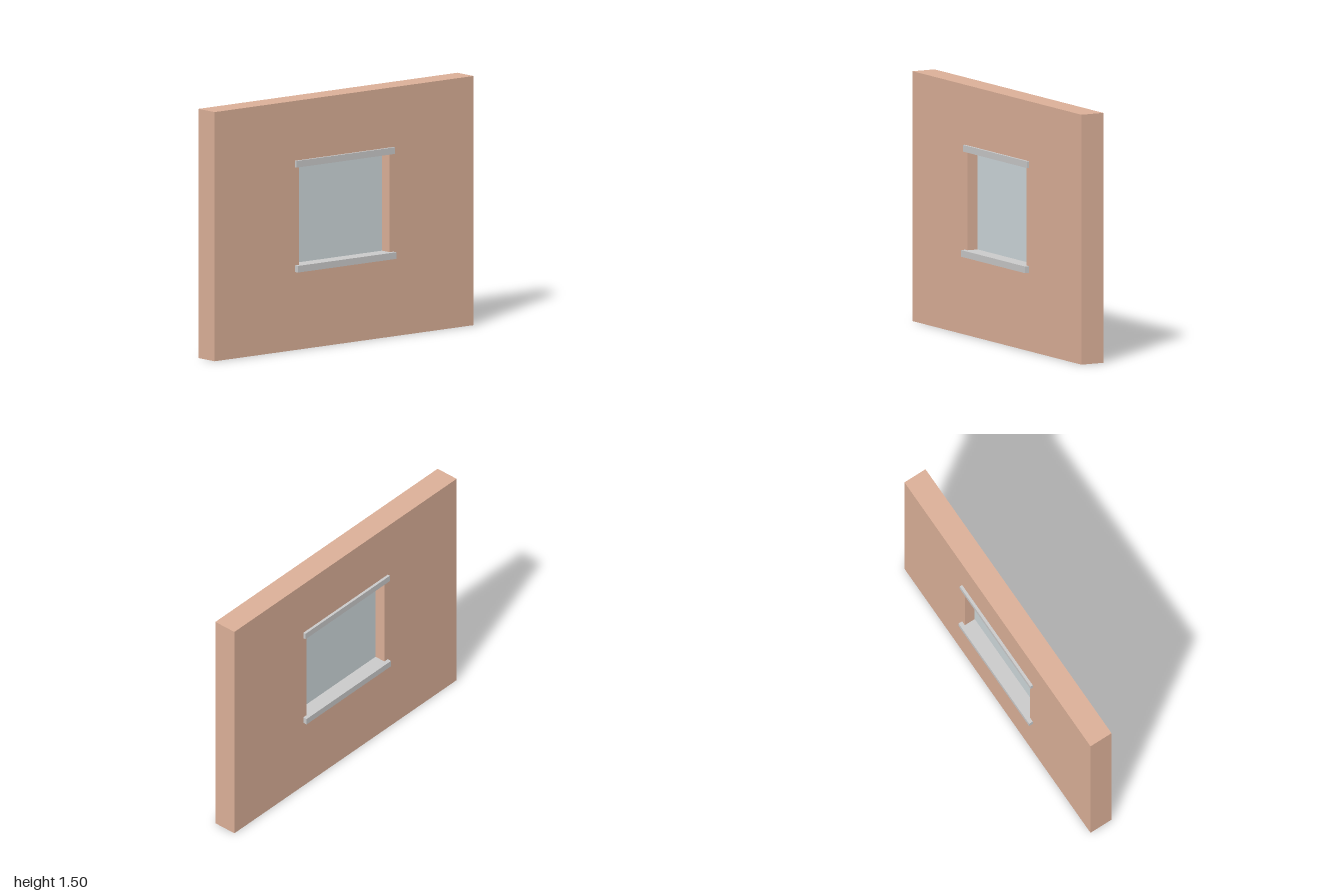
import * as THREE from 'three';

const HALF_W = 0.35, BOTTOM = 0.49, TOP = 1.12; // window opening

export function createModel() {
  const model = new THREE.Group();
  const wallMat = new THREE.MeshStandardMaterial({ color: 0xddb199 });
  const glassMat = new THREE.MeshStandardMaterial({ color: 0xd0dadd });
  const trimMat = new THREE.MeshStandardMaterial({ color: 0xcccccc });

  const addBox = (name, mat, [w, h, d], y, z = 0) => {
    const mesh = new THREE.Mesh(new THREE.BoxGeometry(w, h, d), mat);
    mesh.name = name;
    mesh.position.set(0, y, z);
    model.add(mesh);
  };

  // Wall slab with a rectangular window opening
  const outline = new THREE.Shape();
  outline.moveTo(-1, 0).lineTo(1, 0).lineTo(1, 1.5).lineTo(-1, 1.5).closePath();
  const opening = new THREE.Path();
  opening.moveTo(-HALF_W, BOTTOM).lineTo(-HALF_W, TOP).lineTo(HALF_W, TOP).lineTo(HALF_W, BOTTOM).closePath();
  outline.holes.push(opening);
  const wallGeo = new THREE.ExtrudeGeometry(outline, { depth: 0.15, bevelEnabled: false });
  wallGeo.translate(0, 0, -0.075);
  const wall = new THREE.Mesh(wallGeo, wallMat);
  wall.name = 'wall';
  model.add(wall);

  // Thin pane in the middle of the opening
  addBox('windowPane', glassMat, [2 * HALF_W, TOP - BOTTOM, 0.01], (TOP + BOTTOM) / 2);

  // Sill and lintel run through the wall and project on both faces
  addBox('windowSill', trimMat, [0.76, 0.04, 0.204], 0.49, 0.001);
  addBox('lintel', trimMat, [0.76, 0.04, 0.182], 1.12, -0.001);

  return model;
}
